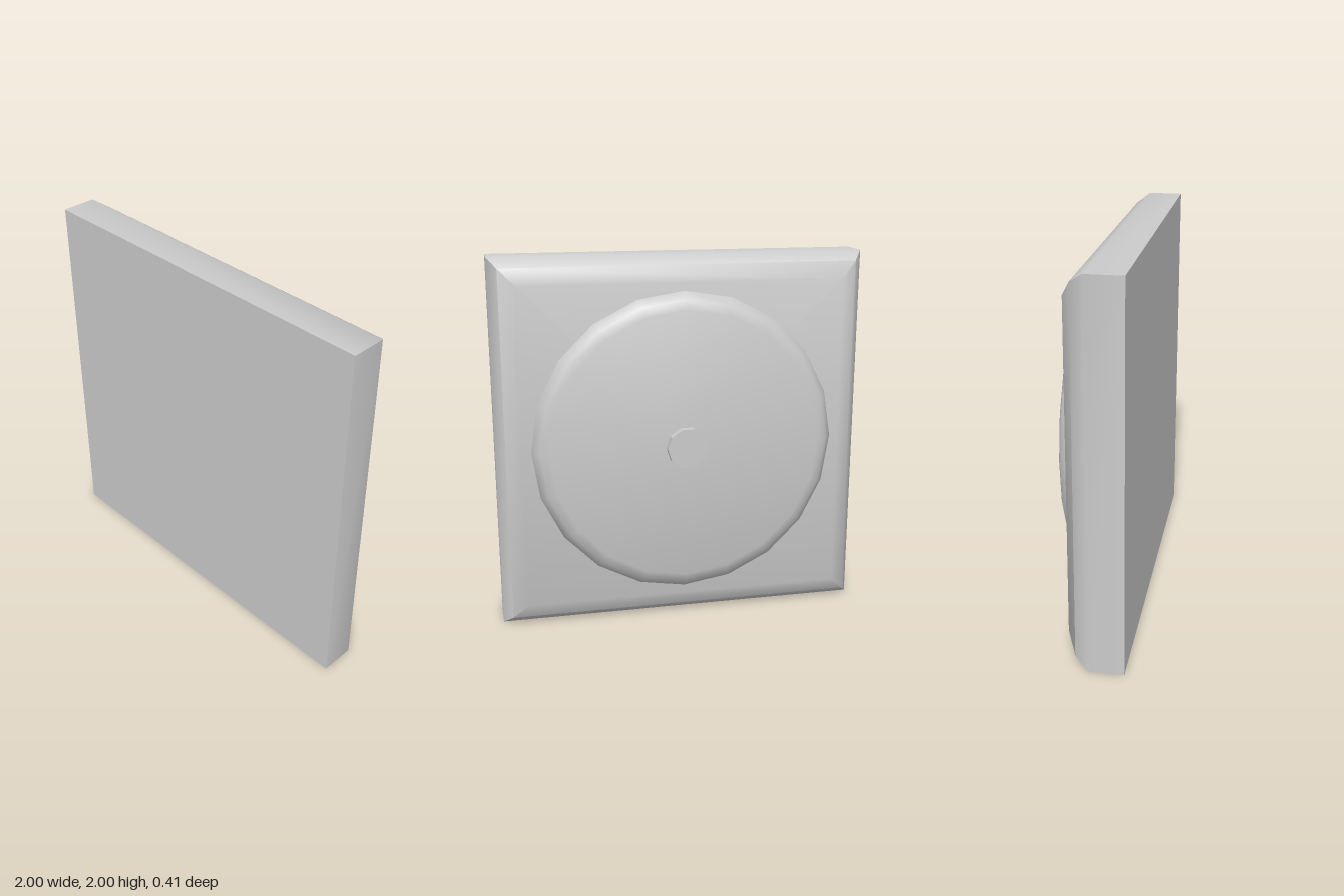
import * as THREE from 'three';
import { toCreasedNormals } from 'three/addons/utils/BufferGeometryUtils.js';

const material = new THREE.MeshStandardMaterial({ color: 0xcccccc });

// Turned part facing the back: profile points are [radius, distance behind centre].
function turnedPart(name, profile, sides, startAngle, creaseDegrees) {
  const points = profile.map(([r, h]) => new THREE.Vector2(r, h));
  const lathe = new THREE.LatheGeometry(points, sides, startAngle);
  lathe.rotateX(-Math.PI / 2);
  const geometry = toCreasedNormals(lathe, THREE.MathUtils.degToRad(creaseDegrees));
  const mesh = new THREE.Mesh(geometry, material);
  mesh.name = name;
  mesh.position.y = 1;
  return mesh;
}

export function createModel() {
  const model = new THREE.Group();
  model.name = 'squarePanel';

  // Square slab with a flat front and two-step bevels around the back
  const slabProfile = [[0, -0.205], [1, -0.205], [1, -0.02], [0.95, 0.05], [0.865, 0.1], [0, 0.1]]
    .map(([half, h]) => [half * Math.SQRT2, h]);
  model.add(turnedPart('slab', slabProfile, 4, Math.PI / 4, 45));

  // Round raised plate with a softened rim
  const plateProfile = [[0.82, 0.09], [0.82, 0.1], [0.78, 0.145], [0.73, 0.162], [0, 0.162]];
  model.add(turnedPart('roundPlate', plateProfile, 20, 0, 50));

  // Faceted centre stud
  const studProfile = [[0.11, 0.155], [0.11, 0.205], [0, 0.205]];
  model.add(turnedPart('centreStud', studProfile, 10, Math.PI / 2, 20));

  return model;
}
